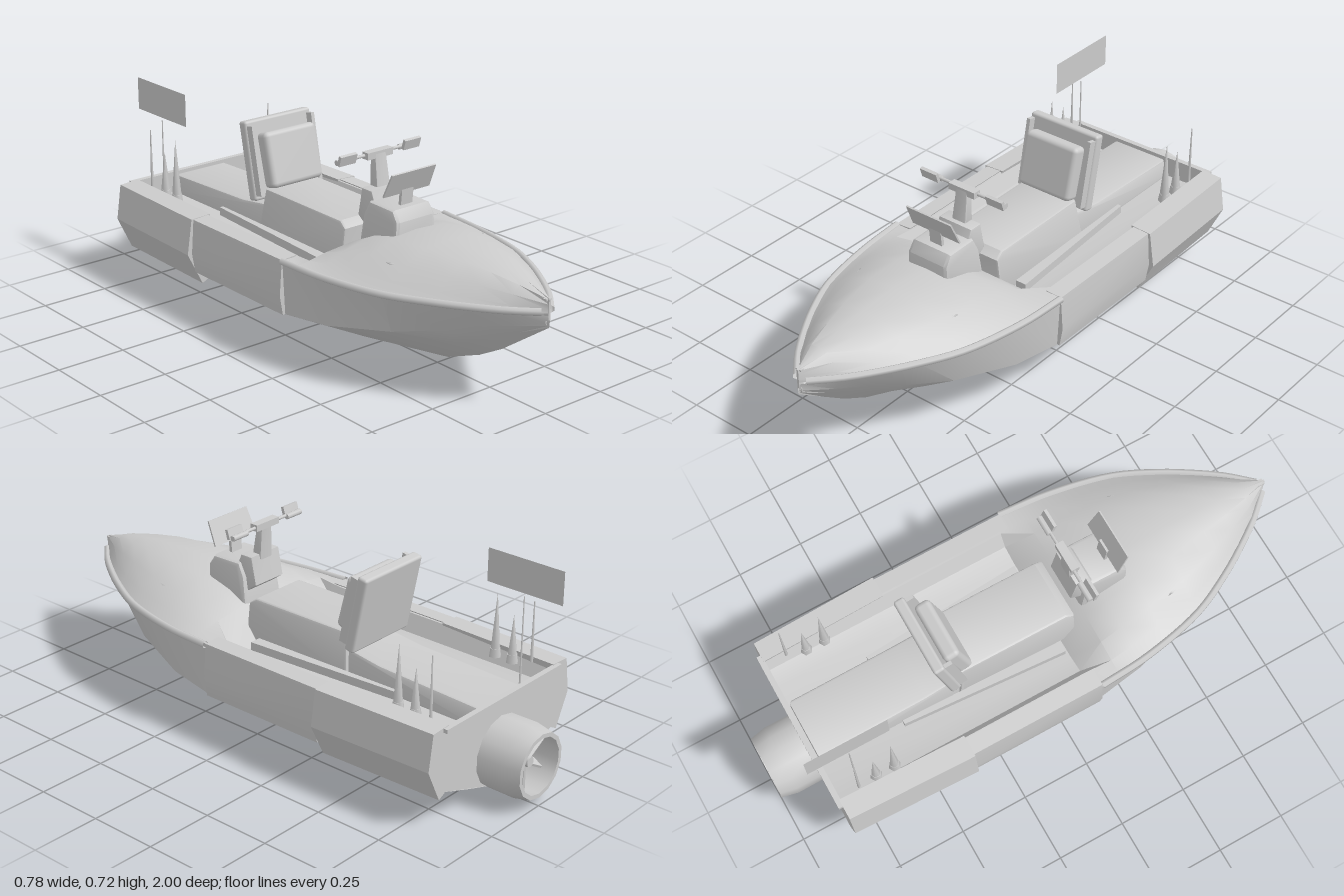
import * as THREE from 'three';
import { toCreasedNormals } from 'three/addons/utils/BufferGeometryUtils.js';
import { RoundedBoxGeometry } from 'three/addons/geometries/RoundedBoxGeometry.js';

const mat = new THREE.MeshStandardMaterial({ color: 0xcccccc, side: THREE.DoubleSide });

export function createModel() {
  const boat = new THREE.Group();
  boat.name = 'boat';

  const add = (name, geo, pos = [0, 0, 0], rot = [0, 0, 0], parent = boat) => {
    const m = new THREE.Mesh(geo, mat);
    m.name = name;
    m.position.set(...pos);
    m.rotation.set(...rot);
    parent.add(m);
    return m;
  };
  const crease = (g, a = 0.5) => toCreasedNormals(g, a);
  const box = (w, h, d) => new THREE.BoxGeometry(w, h, d);

  // Skin through cross-sections: rows of { z, pts: [[x, y], ...] }
  const loft = (rows, angle) => {
    const n = rows[0].pts.length, pos = [], idx = [];
    rows.forEach(r => r.pts.forEach(([x, y]) => pos.push(x, y, r.z)));
    for (let j = 0; j < rows.length - 1; j++)
      for (let i = 0; i < n - 1; i++) {
        const a = j * n + i, b = a + 1, c = a + n, d = c + 1;
        idx.push(a, c, b, b, c, d);
      }
    const g = new THREE.BufferGeometry();
    g.setAttribute('position', new THREE.Float32BufferAttribute(pos, 3));
    g.setIndex(idx);
    return crease(g, angle);
  };
  // Half section (centre outward) to full section
  const full = (half, s) => [
    ...half.slice(1).reverse().map(([x, y]) => [-x * s, y]),
    ...half.map(([x, y]) => [x * s, y]),
  ];
  const shape = pts => new THREE.Shape(pts.map(p => new THREE.Vector2(...p)));
  // Side outline [z, y] extruded across the boat, narrowed from yLow to yHigh
  const across = (pts, width, topScale = 1, bevel = 0.01) => {
    const depth = width - 2 * bevel;
    const g = new THREE.ExtrudeGeometry(shape(pts.map(([z, y]) => [-z, y])), {
      depth, bevelSize: bevel, bevelThickness: bevel, bevelSegments: 2, bevelOffset: -bevel,
    });
    g.translate(0, 0, -depth / 2).rotateY(Math.PI / 2);
    const ys = pts.map(p => p[1]), lo = Math.min(...ys), hi = Math.max(...ys);
    const p = g.attributes.position;
    for (let i = 0; i < p.count; i++)
      p.setX(i, p.getX(i) * (1 + (topScale - 1) * (p.getY(i) - lo) / (hi - lo)));
    return crease(g, 0.6);
  };

  // Hull stations: z, keel y, chine x, chine y, sheer x, sheer y
  const stations = [
    [-0.84, 0.02, 0.325, 0.13, 0.335, 0.345],
    [-0.4, 0.013, 0.35, 0.15, 0.355, 0.345],
    [0.13, 0.003, 0.35, 0.15, 0.36, 0.345],
    [0.32, 0.003, 0.325, 0.165, 0.345, 0.345],
    [0.55, 0.04, 0.25, 0.2, 0.295, 0.35],
    [0.7, 0.1, 0.175, 0.235, 0.225, 0.35],
    [0.8, 0.155, 0.115, 0.265, 0.165, 0.348],
    [0.9, 0.225, 0.06, 0.285, 0.095, 0.342],
    [1.0, 0.295, 0.002, 0.31, 0.003, 0.335],
  ];
  add('hull', loft(stations.map(([z, k, cx, cy, sx, sy]) => ({
    z, pts: full([[0, k], [cx * 0.5, k + (cy - k) * 0.48], [cx, cy], [sx, sy]], -1),
  })), 0.55));

  // Transom plate
  add('transom', new THREE.ShapeGeometry(shape(
    [[0, 0.02], [0.325, 0.13], [0.335, 0.345], [-0.335, 0.345], [-0.325, 0.13]])), [0, 0, -0.84]);
  add('transomRail', box(0.61, 0.014, 0.02), [0, 0.342, -0.845]);

  // Deck: sunken cockpit, then a domed foredeck
  const cockpit = [[-0.84, 0.335], [-0.4, 0.355], [0.1, 0.36]].map(([z, sx]) => ({
    z, pts: full([[0, 0.27], [0.2, 0.27], [0.265, 0.285], [0.295, 0.345], [sx, 0.345]], 1),
  }));
  const crown = [[0.2, 0.355, 0.375], [0.28, 0.347, 0.415], [0.4, 0.328, 0.447], [0.55, 0.295, 0.456],
    [0.7, 0.225, 0.45], [0.8, 0.165, 0.438], [0.9, 0.095, 0.42], [1.0, 0.003, 0.39]];
  const foredeck = crown.map(([z, sx, top]) => {
    const y = t => 0.343 + (top - 0.343) * t;
    return { z, pts: full([[0, top], [sx * 0.35, y(0.93)], [sx * 0.65, y(0.62)], [sx * 0.85, y(0.25)], [sx, y(0)]], 1) };
  });
  add('deck', loft([...cockpit, ...foredeck], 0.55));

  // Side sponsons, bow rub rails, deck vents, cockpit trim and masts
  for (const s of [1, -1]) {
    const side = s > 0 ? 'left' : 'right';
    const sponson = (name, pts, z0, z1, rule) => {
      const g = new THREE.ExtrudeGeometry(shape(pts.map(([x, y]) => [s * x, y])),
        { depth: z1 - z0, bevelEnabled: false }).translate(0, 0, z0);
      const p = g.attributes.position;
      for (let i = 0; i < p.count; i++) p.setX(i, p.getX(i) * rule(p.getZ(i)));
      add(side + name, crease(g, 0.3));
    };
    sponson('RearSponson', [[0.29, 0.352], [0.37, 0.348], [0.39, 0.22], [0.33, 0.1], [0.3, 0.115], [0.31, 0.28]],
      -0.84, -0.37, z => (z < -0.6 ? 0.96 : 1));
    sponson('MidSponson', [[0.3, 0.35], [0.362, 0.346], [0.372, 0.22], [0.36, 0.15], [0.33, 0.155], [0.33, 0.3]],
      -0.37, 0.13, () => 1);

    const rail = new THREE.CatmullRomCurve3([[0.362, 0.342, 0.13], [0.347, 0.34, 0.32], [0.297, 0.342, 0.55],
      [0.227, 0.345, 0.7], [0.167, 0.346, 0.8], [0.097, 0.347, 0.9], [0.02, 0.348, 0.985]]
      .map(([x, y, z]) => new THREE.Vector3(s * x, y, z)));
    add(side + 'RubRail', new THREE.TubeGeometry(rail, 24, 0.013, 6));

    // Vent slit lying on the foredeck
    const vent = new THREE.SphereGeometry(1, 8, 6).scale(0.012, 0.006, 0.11);
    add(side + 'DeckVent', vent, [s * 0.175, 0.4, 0.58], [0.06, -s * 0.35, -s * 0.45]);

    // Tapered foot trim beside the seat
    const trim = new THREE.ExtrudeGeometry(shape([[s * 0.125, 0.52], [s * 0.14, 0.52], [s * 0.182, -0.09], [s * 0.14, -0.09]]),
      { depth: 0.03, bevelEnabled: false }).rotateX(-Math.PI / 2);
    add(side + 'FootTrim', trim, [0, 0.27, 0]);

    // Rear masts
    for (const [z, h] of [[-0.62, 0.21], [-0.69, 0.15]]) {
      add(side + 'Mast', new THREE.ConeGeometry(0.017, h, 6), [s * 0.257, 0.345 + h / 2, z]);
      add(side + 'MastBase', new THREE.CylinderGeometry(0.018, 0.022, 0.03, 6), [s * 0.257, 0.335, z]);
    }
    add(side + 'Antenna', new THREE.CylinderGeometry(0.002, 0.006, 0.22, 5), [s * 0.268, 0.45, -0.76]);
  }

  // Flag on its thin pole
  add('flagPole', new THREE.CylinderGeometry(0.002, 0.004, 0.32, 5), [-0.222, 0.43, -0.75]);
  add('flag', new THREE.PlaneGeometry(0.3, 0.12), [-0.222, 0.66, -0.75], [0, Math.PI / 2, 0]);

  // Seat, engine cover and backrest
  add('seat', across([[0.16, 0.27], [0.16, 0.405], [0.13, 0.427], [-0.28, 0.43], [-0.3, 0.27]], 0.27, 0.84));
  add('engineCover', across([[-0.28, 0.27], [-0.28, 0.37], [-0.42, 0.352], [-0.83, 0.338], [-0.83, 0.27]], 0.25, 0.86));
  add('backrestShell', new RoundedBoxGeometry(0.29, 0.285, 0.04, 2, 0.01), [0, 0.52, -0.343], [-0.2, 0, 0]);
  add('backrestCushion', new RoundedBoxGeometry(0.225, 0.2, 0.06, 2, 0.018), [0, 0.53, -0.283], [-0.25, 0, 0]);
  for (const s of [1, -1])
    add('backrestTrim', box(0.014, 0.25, 0.05), [s * 0.132, 0.525, -0.32], [-0.2, 0, 0]);

  // Steering console
  const console = new THREE.Group();
  console.name = 'console';
  boat.add(console);
  const put = (name, geo, pos, rot) => add(name, geo, pos, rot, console);
  put('pod', across([[0.385, 0.38], [0.385, 0.48], [0.36, 0.517], [0.24, 0.52], [0.215, 0.47], [0.2, 0.36]], 0.185, 0.9, 0.016));
  put('columnBracket', across([[0.26, 0.5], [0.24, 0.55], [0.19, 0.55], [0.17, 0.45], [0.21, 0.42]], 0.14, 1, 0.006));
  put('column', across([[0.225, 0.53], [0.205, 0.66], [0.18, 0.66], [0.185, 0.53]], 0.06, 0.8, 0.005));
  const screen = box(0.19, 0.092, 0.006);
  const sp = screen.attributes.position;
  for (let i = 0; i < sp.count; i++) if (sp.getY(i) < 0) sp.setX(i, sp.getX(i) * 1.06);
  put('windscreen', screen, [0, 0.602, 0.352], [0.42, 0, 0]);
  put('screenStay', box(0.05, 0.085, 0.012), [0, 0.54, 0.333], [0.1, 0, 0]);

  // Handlebar with grips and mirrors
  put('barClamp', box(0.11, 0.024, 0.03), [0, 0.657, 0.19]);
  put('handlebar', new THREE.CylinderGeometry(0.006, 0.006, 0.34, 8), [0, 0.657, 0.185], [0, 0, Math.PI / 2]);
  for (const s of [1, -1]) {
    put('grip', new THREE.CylinderGeometry(0.01, 0.01, 0.07, 8), [s * 0.135, 0.654, 0.18], [0, 0, Math.PI / 2]);
    put('mirror', box(0.07, 0.036, 0.012), [s * 0.14, 0.665, 0.2], [0.3, 0, 0]);
  }

  // Bow fitting: cleat and tow eye
  add('bowCleat', box(0.008, 0.07, 0.02), [0, 0.355, 0.99]);
  add('bowCleatBar', box(0.022, 0.006, 0.02), [0, 0.387, 0.985]);
  add('towEye', new THREE.TorusGeometry(0.009, 0.003, 4, 6), [0, 0.312, 0.993]);

  // Water jet: hollow duct, hub and blades
  const jet = new THREE.Group();
  jet.name = 'waterJet';
  jet.position.set(0, 0.148, -0.84);
  boat.add(jet);
  const ring = [[0.127, 0], [0.128, 0.1], [0.115, 0.16], [0.1, 0.16], [0.108, 0.08], [0.108, 0]];
  add('duct', crease(new THREE.LatheGeometry(ring.map(p => new THREE.Vector2(...p)), 14), 0.6),
    [0, 0, 0], [-Math.PI / 2, 0, 0], jet);
  add('hub', new THREE.CylinderGeometry(0.018, 0.03, 0.12, 10), [0, 0, -0.06], [-Math.PI / 2, 0, 0], jet);
  for (let i = 0; i < 6; i++) {
    const blade = box(0.008, 0.09, 0.045).rotateY(0.4).translate(0, 0.06, 0);
    add('blade', blade, [0, 0, -0.085], [0, 0, i * Math.PI / 3], jet);
  }
  return boat;
}
